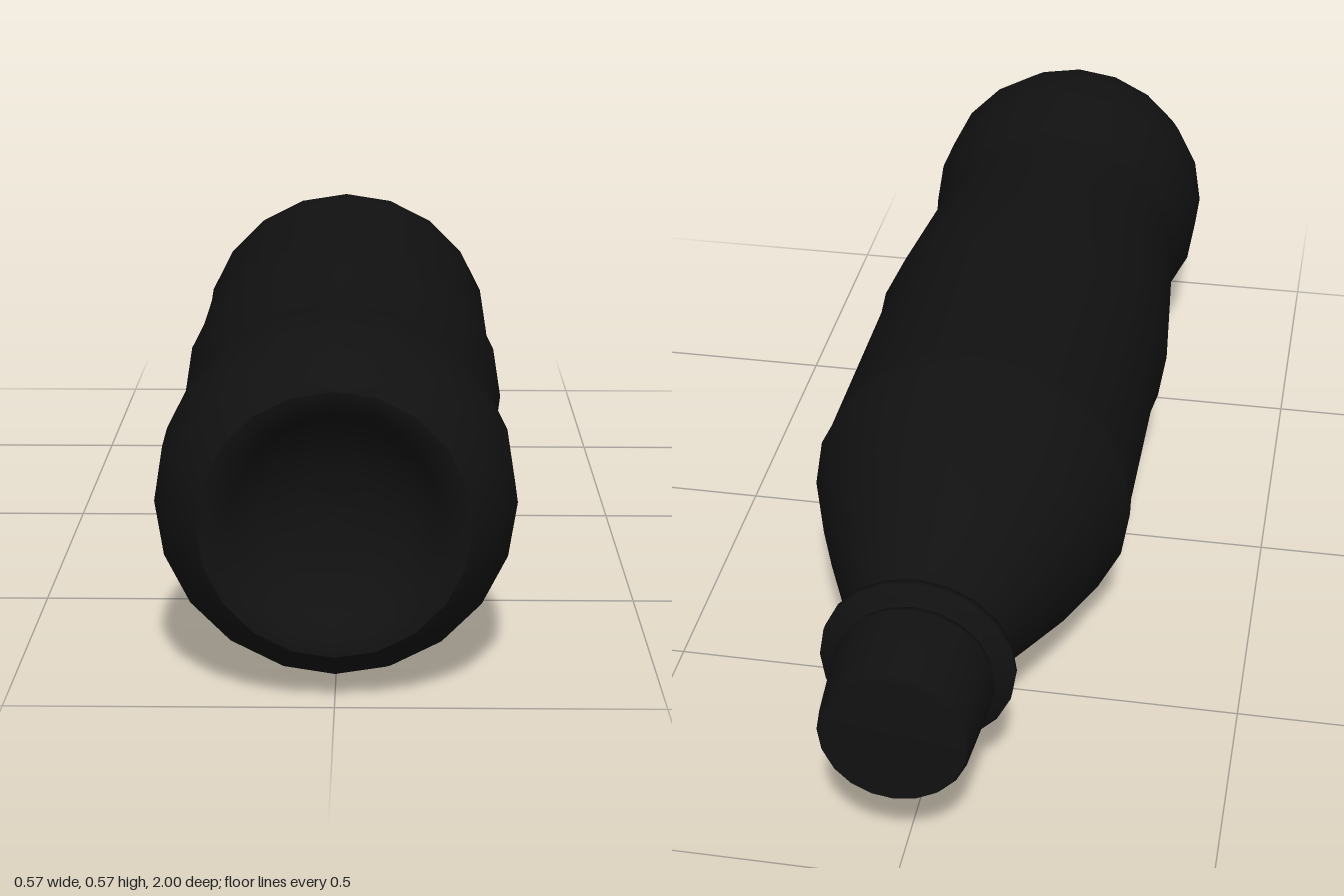
import * as THREE from 'three';

const SIDES = 20;
const AXIS_Y = 0.284;

// Revolves [z, radius] pairs, ordered from back to front, around the bottle's axis.
function turned(name, profile, material) {
  const points = profile.map(([z, r]) => new THREE.Vector2(r, z));
  const geometry = new THREE.LatheGeometry(points, SIDES);
  geometry.rotateX(Math.PI / 2);
  const mesh = new THREE.Mesh(geometry, material);
  mesh.name = name;
  mesh.position.y = AXIS_Y;
  return mesh;
}

export function createModel() {
  const group = new THREE.Group();
  group.name = 'bottle';
  const dark = new THREE.MeshStandardMaterial({ color: 0x111111, side: THREE.DoubleSide });

  // Shoulder, straight label area, waist and rounded foot
  group.add(turned('body', [
    [-0.84, 0.115], [-0.76, 0.118], [-0.73, 0.126], [-0.62, 0.174], [-0.48, 0.233],
    [-0.335, 0.282], [-0.29, 0.278], [0.13, 0.277], [0.2, 0.284], [0.4, 0.267],
    [0.57, 0.252], [0.63, 0.256], [0.76, 0.28], [0.87, 0.278], [0.94, 0.253],
    [0.985, 0.222], [1, 0.205],
  ], dark));

  // Hollow under the foot
  group.add(turned('baseHollow', [
    [1, 0.205], [0.995, 0.175], [0.96, 0.155], [0.92, 0.115], [0.9, 0.06], [0.895, 0],
  ].reverse(), dark));

  // Thin flange around the neck
  group.add(turned('neckRing', [
    [-0.83, 0.118], [-0.815, 0.135], [-0.808, 0.16], [-0.795, 0.16], [-0.785, 0.135], [-0.77, 0.118],
  ], dark));

  // Slightly tapered screw cap with a closed end
  group.add(turned('cap', [
    [-1, 0], [-1, 0.115], [-0.99, 0.121], [-0.84, 0.132], [-0.825, 0.128], [-0.82, 0.11],
  ], dark));

  return group;
}
